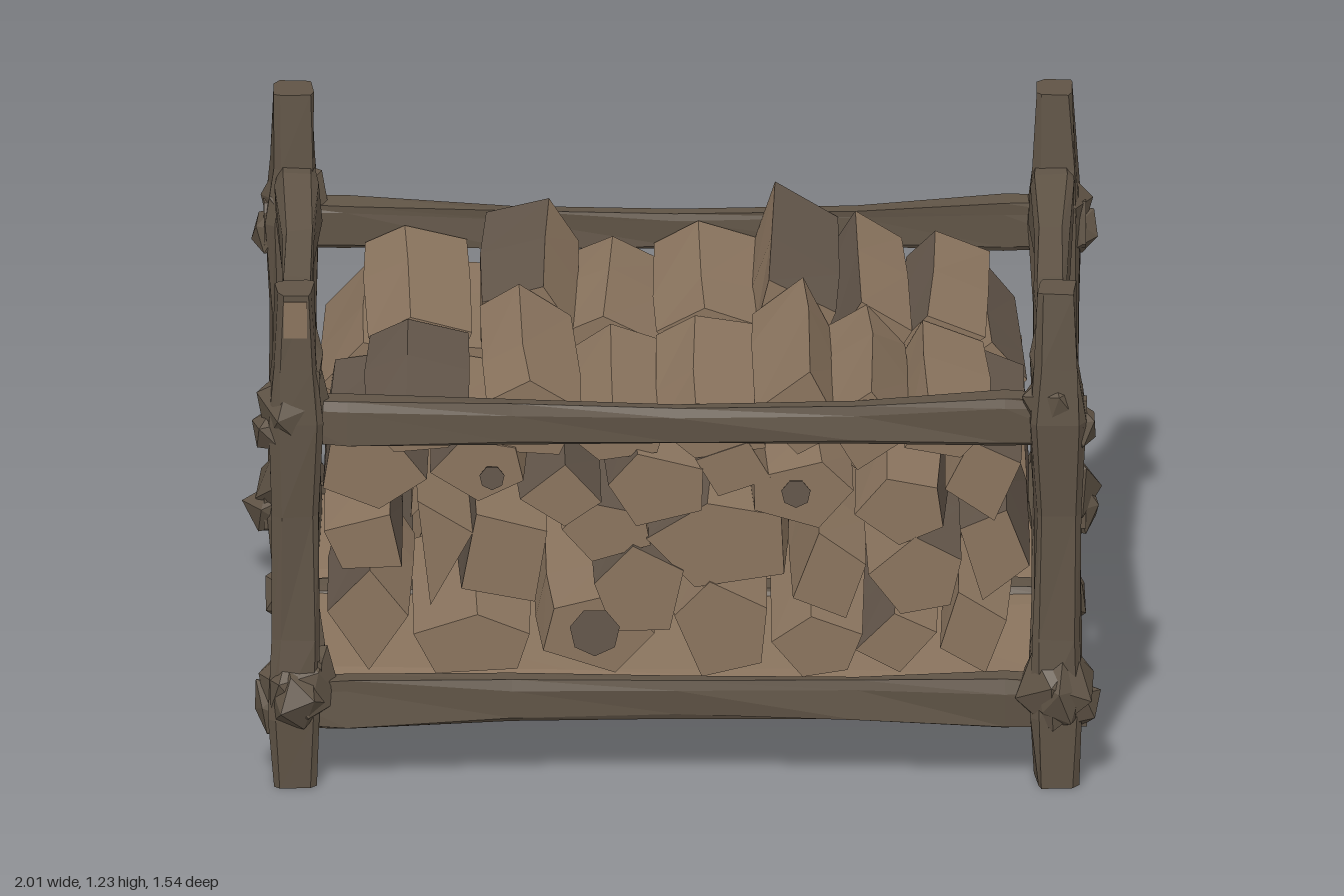
import * as THREE from 'three';

let seed = 7;
const rnd = () => {
  seed = (seed * 16807) % 2147483647;
  return seed / 2147483647;
};
const jit = (a) => (rnd() * 2 - 1) * a;

function makeMaterials() {
  const mat = (name, color) => {
    const m = new THREE.MeshStandardMaterial({ color, flatShading: true });
    m.name = name;
    return m;
  };
  return {
    frame: mat('dark frame timber', 0x605446),
    wood: mat('split wood', 0x8a745e),
    bark: mat('bark', 0x63564a),
  };
}

// Skin rings of points, with closed caps; slotOf picks the material of each side
function loft(rings, slotOf = () => 0) {
  const pos = [];
  const geo = new THREE.BufferGeometry();
  const n = rings[0].length;
  const tri = (a, b, c) => pos.push(a.x, a.y, a.z, b.x, b.y, b.z, c.x, c.y, c.z);
  for (let i = 0; i < n; i++) {
    const start = pos.length / 3;
    const j = (i + 1) % n;
    for (let k = 0; k < rings.length - 1; k++) {
      const a = rings[k], b = rings[k + 1];
      tri(a[i], a[j], b[j]);
      tri(a[i], b[j], b[i]);
    }
    geo.addGroup(start, pos.length / 3 - start, slotOf(i));
  }
  const capStart = pos.length / 3;
  const mid = (r) => r.reduce((s, p) => s.add(p), new THREE.Vector3()).divideScalar(n);
  const first = rings[0], last = rings[rings.length - 1];
  const c0 = mid(first), c1 = mid(last);
  for (let i = 0; i < n; i++) {
    const j = (i + 1) % n;
    tri(c0, first[j], first[i]);
    tri(c1, last[i], last[j]);
  }
  geo.addGroup(capStart, pos.length / 3 - capStart, 0);
  geo.setAttribute('position', new THREE.Float32BufferAttribute(pos, 3));
  geo.computeVertexNormals();
  return geo;
}

// Rough-hewn beam; stations are [t, width scale, height scale, sag]
function beam(a, b, w, h, up, stations) {
  const A = new THREE.Vector3(...a), B = new THREE.Vector3(...b);
  const d = B.clone().sub(A).normalize();
  const v = new THREE.Vector3(...up);
  v.addScaledVector(d, -v.dot(d)).normalize();
  const u = v.clone().cross(d);
  const outline = [[0.5, -0.36], [0.5, 0.36], [0.34, 0.5], [-0.4, 0.5], [-0.5, 0.3], [-0.5, -0.42], [-0.36, -0.5], [0.36, -0.5]];
  const rings = stations.map(([t, sw, sh, sag = 0]) => outline.map(([x, y]) =>
    A.clone().lerp(B, t)
      .addScaledVector(u, x * w * sw + jit(0.006))
      .addScaledVector(v, y * h * sh + sag + jit(0.006))));
  return loft(rings);
}

// Irregular faceted lump
function lump(sx, sy, sz) {
  const g = new THREE.IcosahedronGeometry(1, 0);
  g.rotateX(rnd() * 3).rotateY(rnd() * 3);
  const p = g.attributes.position;
  const scale = {};
  for (let i = 0; i < p.count; i++) {
    const key = [p.getX(i), p.getY(i), p.getZ(i)].map((c) => Math.round(c * 100)).join();
    const s = (scale[key] ??= 0.8 + rnd() * 0.4);
    p.setXYZ(i, p.getX(i) * s * sx, p.getY(i) * s * sy, p.getZ(i) * s * sz);
  }
  g.computeVertexNormals();
  return g;
}

export function createModel() {
  seed = 7;
  const M = makeMaterials();
  const model = new THREE.Group();
  model.name = 'firewoodRack';
  const add = (name, geo, mat, parent = model) => {
    const m = new THREE.Mesh(geo, mat);
    m.name = name;
    parent.add(m);
    return m;
  };

  // Corner posts with knotted joints
  const post = [[0, 0.85, 0.92], [0.14, 1.05, 1.05], [0.3, 0.95, 0.9], [0.55, 0.9, 0.88], [0.74, 1.1, 1.15], [0.85, 0.9, 0.95], [1, 0.74, 0.83]];
  for (const x of [-0.89, 0.89]) for (const z of [-0.66, 0.66]) {
    const sx = Math.sign(x), sz = Math.sign(z);
    add('cornerPost', beam([x, 0, z], [x, 1.23, z], 0.114, 0.12, [0, 0, 1], post), M.frame);
    add('lowerJoint', lump(0.1, 0.11, 0.1), M.frame).position.set(x, 0.24, z);
    add('lowerRailEnd', lump(0.07, 0.07, 0.065), M.frame).position.set(x + sx * 0.04, 0.19, z);
    add('lowerSideRailEnd', lump(0.07, 0.085, 0.065), M.frame).position.set(x, 0.23, z + sz * 0.04);
    add('upperJoint', lump(0.09, 0.11, 0.085), M.frame).position.set(x, 0.94, z);
    add('upperRailEnd', lump(0.065, 0.06, 0.06), M.frame).position.set(x + sx * 0.04, 0.88, z);
  }
  add('postChip', new THREE.BoxGeometry(0.055, 0.09, 0.008), M.wood).position.set(-0.89, 1.17, 0.713);

  // Front and back rails, thinner and bowed in the middle
  const rail = (sag) => [[0, 0.95, 1], [0.1, 1.15, 1.1], [0.3, 0.9, 0.9, sag * 0.6], [0.5, 0.85, 0.82, sag],
    [0.72, 0.9, 0.88, sag * 0.6], [0.9, 1.15, 1.1], [1, 0.95, 1]];
  for (const z of [-0.65, 0.65]) {
    add('lowerLongRail', beam([-0.96, 0.195, z], [0.96, 0.195, z], 0.075, 0.11, [0, 1, 0], rail(0.012)), M.frame);
    add('upperLongRail', beam([-0.96, 0.9, z], [0.96, 0.9, z], 0.07, 0.105, [0, 1, 0], rail(-0.015)), M.frame);
  }

  // Side rails and diagonal braces
  for (const x of [-0.88, 0.88]) {
    add('lowerSideRail', beam([x, 0.255, -0.7], [x, 0.255, 0.7], 0.1, 0.125, [0, 1, 0], rail(0.015)), M.frame);
    add('upperSideRail', beam([x, 0.985, -0.7], [x, 0.985, 0.7], 0.09, 0.12, [0, 1, 0], rail(-0.03)), M.frame);
    add('diagonalBrace', beam([x * 1.03, 0.29, -0.56], [x * 1.03, 0.9, 0.63], 0.065, 0.09, [0, 1, 0],
      [[0, 1, 0.95], [0.25, 0.9, 1], [0.6, 0.9, 0.95], [1, 1.1, 1.15]]), M.frame);
    add('middleBeamEnd', lump(0.05, 0.07, 0.085), M.frame).position.set(x * 1.04, 0.215, 0);
  }

  // Base: middle beam and two planks
  add('middleBeam', beam([-0.93, 0.2, 0], [0.93, 0.2, 0], 0.11, 0.085, [0, 1, 0], rail(0.01)), M.frame);
  for (const z of [-0.33, 0.33]) {
    add('basePlank', beam([-0.85, 0.215, z], [0.85, 0.215, z], 0.56, 0.055, [0, 1, 0],
      [[0, 1, 1], [0.35, 0.97, 0.9], [0.7, 1, 1], [1, 0.98, 0.9]]), M.wood);
  }

  // Split logs per layer: [x, y, width, height]
  const layers = [
    [[-0.71, 0.37, 0.19, 0.25], [-0.48, 0.325, 0.27, 0.15], [-0.19, 0.345, 0.26, 0.19], [0.1, 0.36, 0.22, 0.24],
      [0.33, 0.33, 0.22, 0.15], [0.52, 0.325, 0.19, 0.15], [0.7, 0.35, 0.16, 0.2]],
    [[-0.73, 0.585, 0.18, 0.14], [-0.545, 0.54, 0.13, 0.26], [-0.41, 0.54, 0.2, 0.22], [-0.17, 0.59, 0.21, 0.14],
      [-0.09, 0.45, 0.21, 0.21], [0.1, 0.57, 0.32, 0.2], [0.35, 0.5, 0.17, 0.21], [0.55, 0.48, 0.22, 0.19], [0.74, 0.53, 0.16, 0.22]],
    [[-0.7, 0.74, 0.24, 0.18], [-0.46, 0.745, 0.22, 0.15], [-0.28, 0.7, 0.19, 0.16], [-0.06, 0.71, 0.22, 0.18],
      [0.13, 0.75, 0.18, 0.14], [0.29, 0.7, 0.23, 0.16], [0.53, 0.65, 0.21, 0.16], [0.72, 0.73, 0.18, 0.2]],
    [[-0.6, 0.85, 0.24, 0.11], [-0.34, 0.89, 0.22, 0.18], [-0.14, 0.83, 0.23, 0.13], [0.08, 0.85, 0.25, 0.13],
      [0.28, 0.9, 0.2, 0.21], [0.44, 0.85, 0.2, 0.19], [0.63, 0.84, 0.2, 0.12]],
  ];
  const layerTurn = [90, 45, 270, 90];

  const logs = new THREE.Group();
  logs.name = 'logPile';
  model.add(logs);
  const mats = [M.wood, M.bark];

  // One split log: an irregular polygon, fitted to its width and height, running along z
  function addLog([x, y, w, h], turn, side) {
    const n = w < 0.14 ? 3 : w < 0.205 ? 4 : 5;
    const start = n === 3 ? 0 : (turn + jit(25)) * Math.PI / 180;
    const z0 = side > 0 ? -0.012 + rnd() * 0.01 : -0.6 + jit(0.015);
    const z1 = side > 0 ? 0.605 + jit(0.015) : -0.012 - rnd() * 0.01;
    const raw = Array.from({ length: n }, (_, i) => {
      const a = start + ((i + jit(0.15)) / n) * Math.PI * 2;
      return new THREE.Vector2(Math.cos(a), Math.sin(a));
    });
    const box = new THREE.Box2().setFromPoints(raw);
    const size = box.getSize(new THREE.Vector2()), mid = box.getCenter(new THREE.Vector2());
    const outline = raw.map((p) => p.sub(mid).divide(size).multiply(new THREE.Vector2(w, h)));
    const dx = jit(0.014), dy = jit(0.01);
    const rings = [[z0, 0.98], [(z0 + z1) / 2 + jit(0.1), 1.03], [z1, 1]].map(([z, s], k) => outline.map((p) =>
      new THREE.Vector3(x + p.x * s + dx * (k - 1) + jit(0.005), y + p.y * s + dy * (k - 1) + jit(0.005), z)));
    // Bark stays on the outer side of the end logs and on a few other faces
    const slotOf = (i) => {
      const outward = outline[i].x + outline[(i + 1) % n].x > w * 0.4;
      return (x > 0.6 && outward) || rnd() < 0.24 ? 1 : 0;
    };
    add('splitLog', loft(rings, slotOf), mats, logs);
  }
  for (const side of [1, -1]) {
    layers.forEach((layer, k) => layer.forEach((log) => addLog(log, layerTurn[k], side)));
  }

  // Dark knots on the front log ends: [x, y, radius]
  for (const [x, y, r] of [[-0.19, 0.355, 0.06], [-0.43, 0.74, 0.03], [0.28, 0.7, 0.035]]) {
    const disc = new THREE.CylinderGeometry(r, r * 0.95, 0.009, 7);
    disc.rotateX(Math.PI / 2);
    add('darkKnot', disc, M.bark, logs).position.set(x, y, 0.617);
  }

  return model;
}
